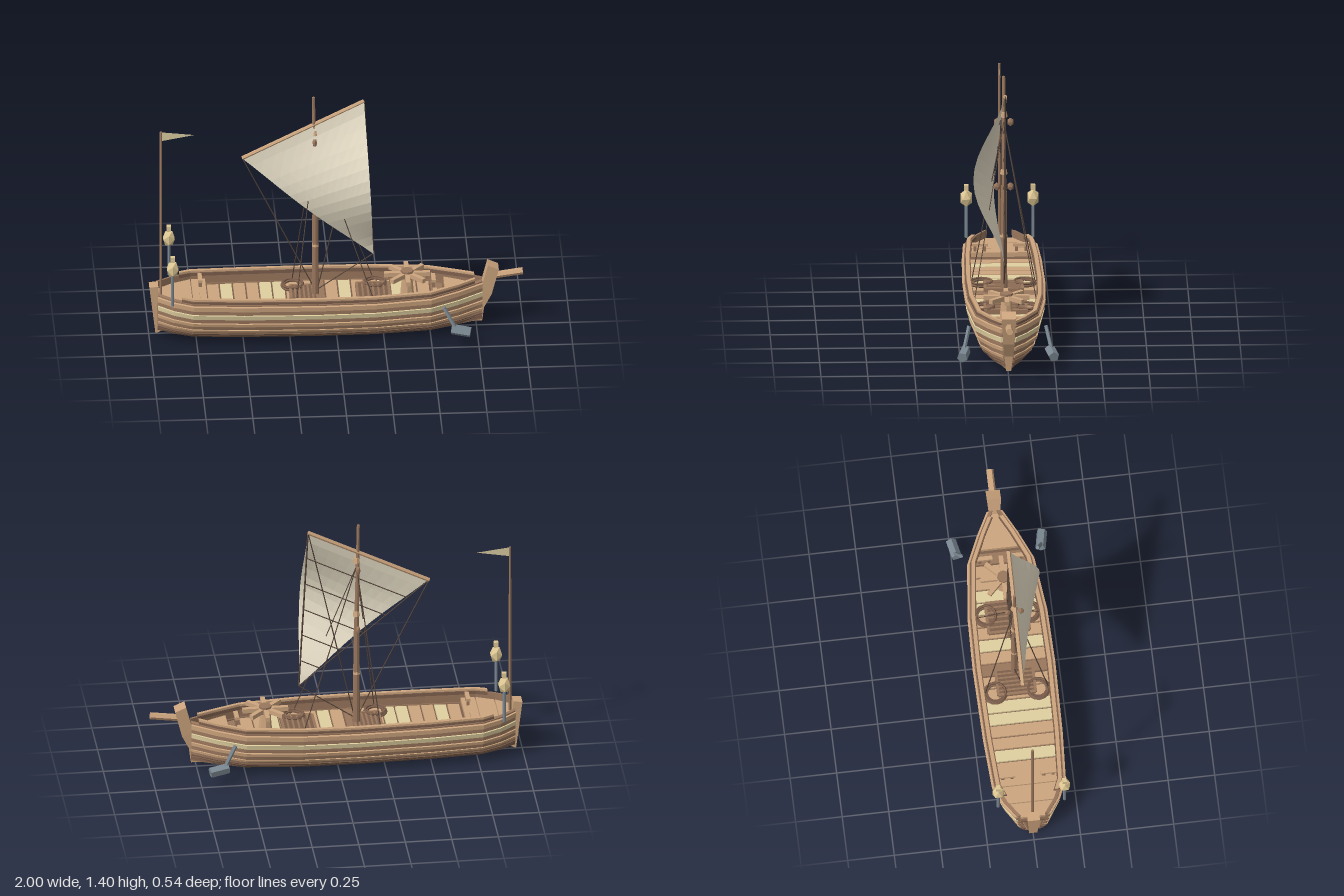
import * as THREE from 'three';

const mat = (name, color, side = THREE.FrontSide) =>
  Object.assign(new THREE.MeshStandardMaterial({ color, flatShading: true, side }), { name });
const V = (x, y, z) => new THREE.Vector3(x, y, z);

// Hull stations: x, half width, keel height, sheer height
const STATIONS = [
  [-0.955, 0.085, 0.03, 0.275], [-0.87, 0.145, 0.02, 0.27], [-0.77, 0.187, 0.012, 0.266],
  [-0.5, 0.202, 0.006, 0.262], [-0.1, 0.21, 0.003, 0.26], [0.2, 0.203, 0.003, 0.26],
  [0.5, 0.168, 0.008, 0.263], [0.65, 0.1, 0.018, 0.27], [0.78, 0.03, 0.035, 0.28]];
// Section: height fraction, width fraction
const SECTION = [[0, 0], [0.05, 0.34], [0.1, 0.58], [0.18, 0.7], [0.3, 0.79],
  [0.44, 0.87], [0.58, 0.92], [0.76, 0.97], [1, 1]];

function lookup(table, t) {
  let i = 0;
  while (i < table.length - 2 && t > table[i + 1][0]) i++;
  const a = table[i], b = table[i + 1], f = (t - a[0]) / (b[0] - a[0]);
  return a.map((v, k) => v + (b[k] - v) * f);
}
const halfWidth = x => lookup(STATIONS, x)[1];

// Solid through equal-sized closed sections, turned outward by its signed volume
function loft(sections) {
  const n = sections[0].length, tris = [];
  for (let s = 0; s < sections.length - 1; s++)
    for (let i = 0; i < n; i++) {
      const j = (i + 1) % n, A = sections[s], B = sections[s + 1];
      tris.push([A[i], B[i], B[j]], [A[i], B[j], A[j]]);
    }
  const first = sections[0], last = sections[sections.length - 1];
  for (let i = 1; i < n - 1; i++)
    tris.push([first[0], first[i], first[i + 1]], [last[0], last[i + 1], last[i]]);
  const volume = tris.reduce((sum, [a, b, c]) => sum + a.dot(b.clone().cross(c)), 0);
  const pts = tris.flatMap(([a, b, c]) => (volume < 0 ? [a, c, b] : [a, b, c]));
  const g = new THREE.BufferGeometry().setFromPoints(pts);
  g.computeVertexNormals();
  return g;
}

export function createModel() {
  const root = new THREE.Group();
  root.name = 'sailingBoat';
  const tan = mat('tanWood', 0xcda57e), light = mat('paleWood', 0xe0d0a0), mid = mat('brownWood', 0x9a775d),
    dark = mat('darkWood', 0x7d5f4c), rope = mat('rope', 0x57463b), steel = mat('steel', 0x7a8790),
    sailCloth = mat('sailCloth', 0xe9e0c9, THREE.DoubleSide), lamp = mat('lampGlass', 0xdfc894),
    flagCloth = mat('flagCloth', 0xd8cba0, THREE.DoubleSide);

  const add = (name, geo, m, parent = root) => {
    const o = new THREE.Mesh(geo, m);
    o.name = name;
    parent.add(o);
    return o;
  };
  const box = (name, w, h, d, x, y, z, m) => {
    const o = add(name, new THREE.BoxGeometry(w, h, d), m);
    o.position.set(x, y, z);
    return o;
  };
  // Round bar between two points
  const bar = (name, a, b, r0, r1, m, sides = 6) => {
    const o = add(name, new THREE.CylinderGeometry(r1, r0, a.distanceTo(b), sides), m);
    o.position.copy(a).lerp(b, 0.5);
    o.quaternion.setFromUnitVectors(V(0, 1, 0), b.clone().sub(a).normalize());
    return o;
  };
  const line = (name, a, b, r = 0.003) => bar(name, a, b, r, r, rope, 4);

  // Lengthwise plank on the hull between two height fractions
  const strake = (name, t0, t1, out0, out1, thick, m) => {
    for (const side of [1, -1]) {
      add(name, loft(STATIONS.map(([x, w, k, s]) => {
        const p = (t, out, lift) => V(x, k + t * (s - k) + lift, side * Math.max(0.001, lookup(SECTION, t)[1] * w + out));
        return [p(t0, out0, 0), p(t1, out1, 0), p(t1, out1 - thick, 0.004), p(t0, out0 - thick, 0.004)];
      })), m);
    }
  };
  // Overlapping hull planks
  const skin = [dark, mid, dark, mid, mid, mid, mid, mid];
  skin.forEach((m, i) => strake('hullPlank', SECTION[i][0], SECTION[i + 1][0], i ? 0.006 : 0, 0, 0.02, m));
  // Raised wales
  strake('bilgeWale', 0.2, 0.23, 0.009, 0.009, 0.02, dark);
  strake('lowerWale', 0.3, 0.35, 0.01, 0.01, 0.02, tan);
  strake('middleWale', 0.46, 0.53, 0.011, 0.011, 0.02, tan);
  strake('paleWale', 0.65, 0.75, 0.012, 0.012, 0.02, light);
  strake('upperWale', 0.86, 0.96, 0.013, 0.013, 0.02, tan);

  // Capping rails
  const railX = [-0.83, -0.77, -0.5, -0.1, 0.2, 0.5, 0.65, 0.74];
  for (const side of [1, -1])
    for (const [y0, y1, o0, o1, m] of [[-0.005, 0.014, -0.036, -0.004, dark], [0.012, 0.025, -0.03, -0.01, tan]])
      add('rail', loft(railX.map(x => {
        const [, w, , s] = lookup(STATIONS, x);
        return [[y0, o0], [y0, o1], [y1, o1], [y1, o0]].map(([y, o]) => V(x, s + y, side * Math.max(0.004, w + o)));
      })), m);

  // Deck: dark underlay, crosswise boards and raised ends
  const board = (name, x0, x1, y, h, m) => add(name, loft([x0, x1].map(x => {
    const w = Math.max(0.006, halfWidth(x) - 0.018);
    return [V(x, y, -w), V(x, y + h, -w), V(x, y + h, w), V(x, y, w)];
  })), m);
  for (let i = 0; i < STATIONS.length - 1; i++) board('deckBase', STATIONS[i][0], STATIONS[i + 1][0], 0.17, 0.015, dark);
  const boardMats = [tan, light, tan, tan, light, light, tan, tan, mid];
  for (let i = 0; i < 18; i++) board('deckBoard', -0.68 + i * 0.07, -0.619 + i * 0.07, 0.185, 0.015, boardMats[i % 9]);
  for (const [x0, x1] of [[-0.95, -0.87], [-0.865, -0.77], [-0.765, -0.69]]) board('sternDeck', x0, x1, 0.21, 0.025, tan);
  for (const [x0, x1] of [[0.58, 0.65], [0.65, 0.775]]) board('bowDeck', x0, x1, 0.215, 0.025, tan);

  // Stern post, bow stem and bowsprit
  const post = (name, rows) => add(name, loft(rows.map(([x0, x1, ya, yb, w]) =>
    [V(x0, ya, -w), V(x1, yb, -w), V(x1, yb, w), V(x0, ya, w)])), tan);
  post('sternPost', [[-0.965, -0.93, 0.015, 0.03, 0.022], [-0.998, -0.95, 0.295, 0.3, 0.033]]);
  post('bowStem', [[0.73, 0.78, 0.035, 0.035, 0.014], [0.75, 0.79, 0.12, 0.12, 0.022],
    [0.77, 0.83, 0.225, 0.2, 0.03], [0.81, 0.868, 0.378, 0.352, 0.038]]);
  bar('bowsprit', V(0.81, 0.296, 0), V(0.998, 0.322, 0), 0.019, 0.019, tan, 6);

  // Mast, yard and fittings
  const mastX = -0.11;
  bar('mastLower', V(mastX, 0.19, 0), V(mastX, 0.76, 0), 0.019, 0.016, mid, 8);
  bar('mastUpper', V(mastX, 0.74, 0), V(mastX - 0.01, 1.4, 0), 0.014, 0.008, mid, 8);
  for (const y of [0.52, 0.87, 1.19]) bar('mastCollar', V(mastX, y - 0.014, 0), V(mastX, y + 0.014, 0), 0.021, 0.015, tan, 6);
  for (const y of [0.785, 1.145])
    for (const side of [1, -1]) {
      const block = add('pulleyBlock', new THREE.IcosahedronGeometry(0.02, 0), mid);
      block.scale.set(0.7, 1.25, 0.9);
      block.position.set(mastX - 0.005, y, side * 0.036);
    }
  const tack = V(-0.5, 1.045, 0), peak = V(0.15, 1.37, 0), clew = V(0.2, 0.45, 0);
  bar('yard', tack, peak, 0.011, 0.011, tan, 6);

  // Triangular sail bellied towards +z
  const sailPoint = (u, v) => {
    const p = tack.clone().lerp(peak, u).lerp(clew, v);
    p.z = 0.006 + 0.165 * Math.sin(Math.PI * v) ** 1.6 * (0.28 + 0.72 * u);
    return p;
  };
  const sail = new THREE.PlaneGeometry(1, 1, 10, 14), sp = sail.attributes.position;
  for (let i = 0; i < sp.count; i++) {
    const p = sailPoint(sp.getX(i) + 0.5, Math.min(1, Math.max(0, 0.5 - sp.getY(i))));
    sp.setXYZ(i, p.x, p.y, p.z);
  }
  sail.computeVertexNormals();
  add('sail', sail, sailCloth);

  // Rigging, with reef lines parallel to the yard
  line('leechRope', peak, clew, 0.0045);
  line('footRope', tack, clew);
  for (let i = 1; i < 6; i++) line('reefLine', tack.clone().lerp(clew, i / 6), peak.clone().lerp(clew, i / 6));
  for (const side of [1, -1])
    for (const x of [-0.225, 0.205]) line('shroud', V(mastX, 1.15, 0), V(x, 0.22, side * 0.17));
  line('yardSheet', tack, V(-0.11, 0.24, 0));
  line('peakSheet', peak, V(-0.1, 0.24, 0));
  line('clewSheet', clew, V(-0.09, 0.25, 0));

  // Hatch gratings
  for (const [x, w, d] of [[-0.17, 0.14, 0.2], [0.2, 0.17, 0.22]]) {
    box('hatch', w, 0.014, d, x, 0.205, 0, dark);
    for (const s of [1, -1]) {
      box('hatchFrame', w, 0.024, 0.014, x, 0.21, s * d / 2, mid);
      box('hatchFrame', 0.014, 0.024, d, x + s * w / 2, 0.21, 0, mid);
    }
    for (let i = 1; i < 6; i++) box('hatchSlat', 0.01, 0.012, d, x - w / 2 + i * w / 6, 0.214, 0, mid);
  }
  // Rope coils
  for (const x of [-0.225, 0.215])
    for (const side of [1, -1])
      for (const [r, y] of [[0.059, 0.21], [0.045, 0.214], [0.055, 0.222]]) {
        const coil = add('ropeCoil', new THREE.TorusGeometry(r, 0.007, 5, 16), dark);
        coil.rotation.x = Math.PI / 2;
        coil.position.set(x, y, side * 0.115);
      }

  // Capstan with eight bars
  bar('capstanDrum', V(0.38, 0.19, 0), V(0.38, 0.305, 0), 0.038, 0.028, tan, 8);
  bar('capstanHead', V(0.38, 0.303, 0), V(0.38, 0.345, 0), 0.036, 0.034, mid, 8);
  for (let i = 0; i < 4; i++) box('capstanBar', 0.245, 0.024, 0.024, 0.38, 0.322, 0, tan).rotation.y = i * Math.PI / 4;

  // Mooring bitts
  for (const [x, z, y] of [[-0.72, 0.11, 0.255], [0.525, 0.085, 0.235]])
    for (const side of [1, -1]) {
      box('bittBeam', 0.022, 0.016, 0.085, x, y + 0.015, side * z, tan);
      for (const d of [-0.025, 0.025]) box('bittPost', 0.016, 0.06, 0.016, x, y - 0.015, side * z + d, mid);
    }

  // Flag pole and pennant
  bar('flagPole', V(-0.935, 0.23, 0), V(-0.935, 1.215, 0), 0.008, 0.007, mid, 6);
  const flag = new THREE.Shape([[-0.933, 1.213], [-0.933, 1.16], [-0.755, 1.192]].map(p => new THREE.Vector2(...p)));
  add('pennant', new THREE.ShapeGeometry(flag), flagCloth);

  for (const side of [1, -1]) {
    // Stern lanterns
    bar('lanternPole', V(-0.882, 0.26, side * 0.178), V(-0.882, 0.45, side * 0.178), 0.009, 0.009, steel, 6);
    const lantern = add('lantern', new THREE.IcosahedronGeometry(0.036, 0), lamp);
    lantern.scale.y = 1.4;
    lantern.position.set(-0.882, 0.48, side * 0.178);
    box('lanternCap', 0.024, 0.03, 0.024, -0.882, 0.54, side * 0.178, lamp);
    // Anchors
    bar('anchorShank', V(0.565, 0.22, side * 0.205), V(0.63, 0.1, side * 0.235), 0.011, 0.011, steel, 5);
    bar('anchorWeight', V(0.605, 0.1, side * 0.225), V(0.705, 0.088, side * 0.245), 0.029, 0.029, steel, 5);
  }
  return root;
}
